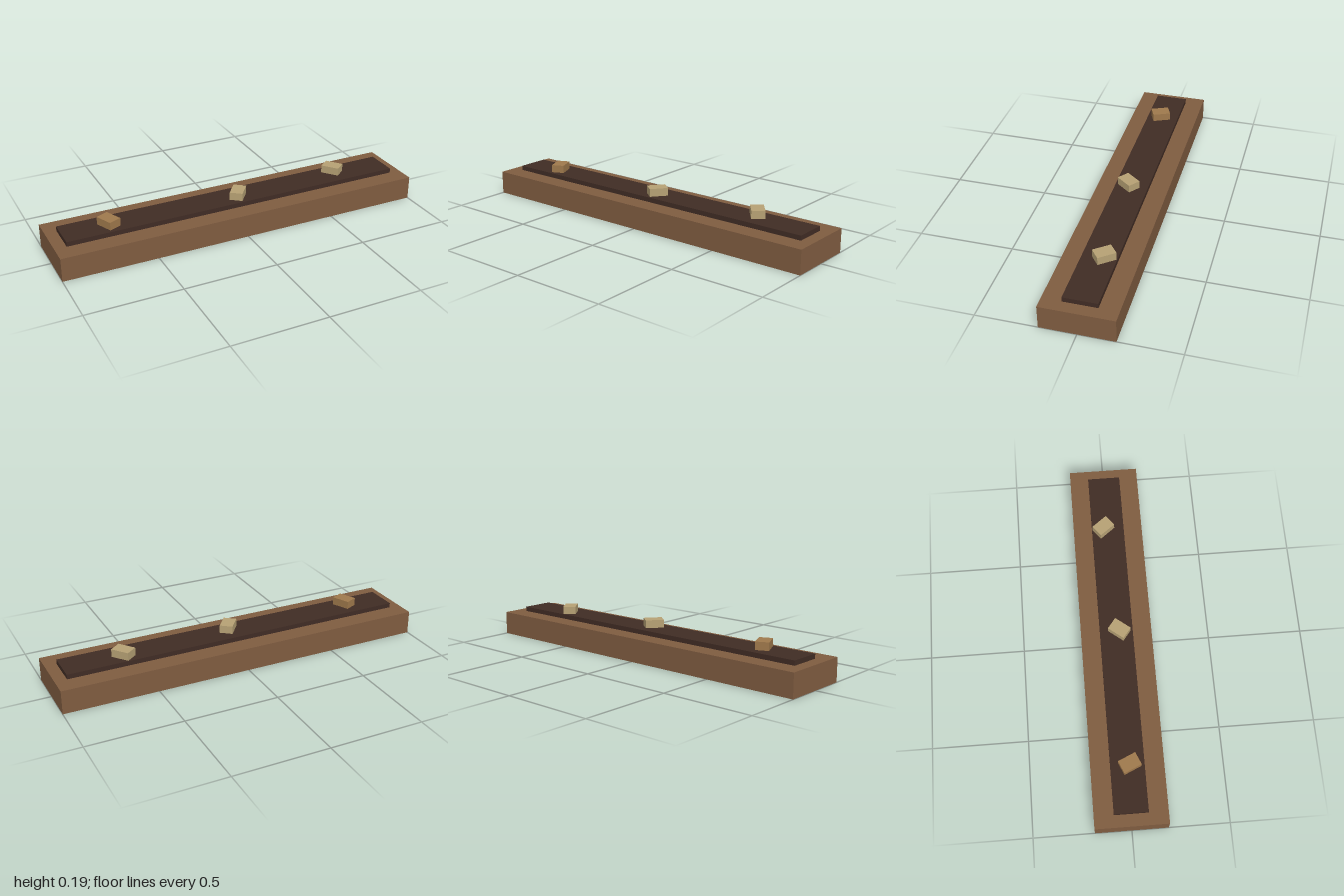
import * as THREE from 'three';

const mat = (name, color, side = THREE.FrontSide) => {
  const m = new THREE.MeshStandardMaterial({ color, side });
  m.name = name;
  return m;
};

export function createModel() {
  const group = new THREE.Group();
  const wood = mat('brown wood', 0x7f5c40, THREE.DoubleSide);
  const soil = mat('dark soil', 0x402c24);
  const tan = mat('pale tan', 0xb6a174);
  const ochre = mat('ochre brown', 0x9f794c);

  const add = (name, geometry, material, x, y, z, turn = 0) => {
    const mesh = new THREE.Mesh(geometry, material);
    mesh.name = name;
    mesh.position.set(x, y, z);
    mesh.rotation.y = THREE.MathUtils.degToRad(turn);
    group.add(mesh);
  };

  // Thin-walled trough, open underneath: a box without its bottom face
  const shell = new THREE.BoxGeometry(2, 0.126, 0.374);
  const index = Array.from(shell.index.array);
  index.splice(18, 6);
  shell.setIndex(index);
  shell.clearGroups();
  add('trough', shell, wood, 0, 0.063, 0);

  // Raised bed on top of the trough
  add('bed', new THREE.BoxGeometry(1.875, 0.025, 0.174), soil, 0, 0.1385, 0);

  // Small blocks lying at odd angles on the bed
  const block = new THREE.BoxGeometry(0.098, 0.042, 0.069);
  add('leftBlock', block, tan, 0.623, 0.172, -0.024, -52);
  add('middleBlock', block, tan, 0.022, 0.172, 0.016, 52);
  add('rightBlock', block, ochre, -0.695, 0.172, 0.012, -66);

  return group;
}
